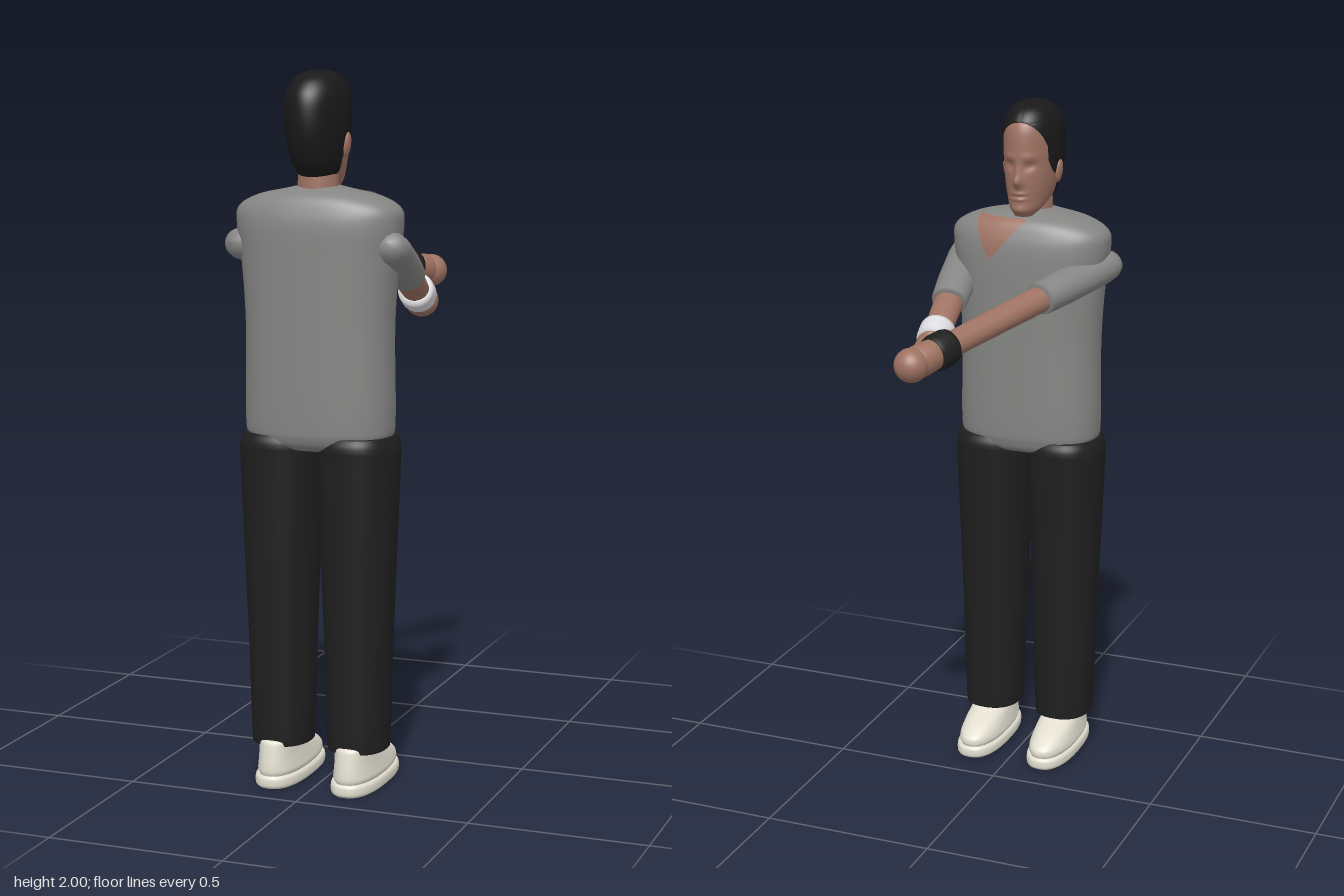
import * as THREE from 'three';

const mat = (name, color, side = THREE.FrontSide) => {
  const m = new THREE.MeshStandardMaterial({ color, side });
  m.name = name;
  return m;
};

// Grid surface from f(u, v) -> [x, y, z]; wrap joins the columns, caps close the ends
function surface(f, rows, cols, wrap = false, caps = false) {
  const pos = [], idx = [], n = wrap ? cols : cols + 1;
  for (let i = 0; i <= rows; i++)
    for (let j = 0; j < n; j++) pos.push(...f(i / rows, j / cols));
  for (let i = 0; i < rows; i++)
    for (let j = 0; j < cols; j++) {
      const k = (j + 1) % n, a = i * n + j, b = a + n, c = i * n + k, d = c + n;
      idx.push(a, b, c, b, d, c);
    }
  if (caps) for (const u of [0, 1]) {
    const start = pos.length / 3, mid = [0, 0, 0];
    for (let j = 0; j < cols; j++) {
      const p = f(u, j / cols);
      pos.push(...p);
      p.forEach((q, k) => { mid[k] += q / cols; });
    }
    pos.push(...mid);
    for (let j = 0; j < cols; j++) {
      const a = start + j, b = start + (j + 1) % cols;
      idx.push(start + cols, ...(u ? [b, a] : [a, b]));
    }
  }
  const g = new THREE.BufferGeometry();
  g.setAttribute('position', new THREE.Float32BufferAttribute(pos, 3));
  g.setIndex(idx);
  g.computeVertexNormals();
  return g;
}

// Smooth sections from rows of [height, half width, front z, back z]
function sections(rings) {
  const curve = (map) => new THREE.CatmullRomCurve3(rings.map(map), false, 'catmullrom', 0.5);
  const a = curve(([y, w, f, b]) => new THREE.Vector3(y, w, (f + b) / 2));
  const d = curve(([, , f, b]) => new THREE.Vector3((b - f) / 2, 0, 0));
  return (t) => {
    const p = a.getPoint(t);
    return { y: p.x, w: p.y, zc: p.z, d: d.getPoint(t).x };
  };
}

const spow = (v, e) => Math.sign(v) * Math.abs(v) ** e;
const loft = (sec, n = 2, rows = 40, cols = 40) => surface((u, v) => {
  const s = sec(u), t = v * Math.PI * 2;
  return [s.w * spow(Math.cos(t), 2 / n), s.y, s.zc + s.d * spow(Math.sin(t), 2 / n)];
}, rows, cols, true, true);

function heightToT(sec, y) {
  let lo = 0, hi = 1;
  for (let i = 0; i < 30; i++) {
    const m = (lo + hi) / 2;
    if (sec(m).y < y) lo = m; else hi = m;
  }
  return lo;
}

export function createModel() {
  const model = new THREE.Group();
  const shirt = mat('grey shirt', 0x858584);
  const black = mat('black cloth', 0x1f1f1f);
  const hairMat = mat('black hair', 0x191919, THREE.DoubleSide);
  const skin = mat('skin', 0x9e7262);
  const patchSkin = mat('open neck skin', 0x9e7262, THREE.DoubleSide);
  const shoeMat = mat('cream shoe', 0xe2ded0);
  const white = mat('white band', 0xdcdce0);
  const add = (name, geo, m, parent = model) => {
    const mesh = new THREE.Mesh(geo, m);
    mesh.name = name;
    parent.add(mesh);
    return mesh;
  };

  // Shirt body
  const N = 2.4;
  const torso = sections([
    [0.962, 0.1, 0.24, 0.37], [0.972, 0.165, 0.2, 0.41], [1.0, 0.203, 0.182, 0.432],
    [1.06, 0.212, 0.176, 0.437], [1.3, 0.21, 0.176, 0.437], [1.48, 0.222, 0.175, 0.437],
    [1.58, 0.236, 0.178, 0.436], [1.63, 0.23, 0.19, 0.425], [1.662, 0.175, 0.208, 0.408],
    [1.68, 0.095, 0.238, 0.38], [1.69, 0.05, 0.26, 0.36]]);
  add('shirt', loft(torso, N, 70, 56), shirt);

  // Open collar showing skin, following the chest surface
  add('open collar', surface((u, v) => {
    const s = torso(heightToT(torso, 1.555 + 0.115 * u));
    const left = THREE.MathUtils.lerp(0.08, -0.02, u), right = THREE.MathUtils.lerp(0.085, 0.14, u ** 0.7);
    const x = Math.min(THREE.MathUtils.lerp(left, right, v), s.w * 0.97);
    const z = s.zc - s.d * (1 - Math.abs(x / s.w) ** N) ** (1 / N);
    return [x, s.y + 0.002, z - 0.004];
  }, 20, 16), patchSkin);

  // Trousers and shoes
  const leg = sections([
    [0.13, 0.08, 0.214, 0.4], [0.14, 0.085, 0.21, 0.404], [0.4, 0.092, 0.204, 0.41],
    [0.7, 0.103, 0.194, 0.422], [0.93, 0.111, 0.182, 0.432], [0.98, 0.109, 0.18, 0.434],
    [1.008, 0.1, 0.19, 0.425]]);
  const sole = sections([
    [0, 0.062, 0.092, 0.424], [0.008, 0.07, 0.083, 0.432], [0.028, 0.07, 0.083, 0.432], [0.036, 0.064, 0.09, 0.426]]);
  const upper = sections([
    [0.034, 0.06, 0.094, 0.422], [0.046, 0.066, 0.09, 0.426], [0.065, 0.064, 0.097, 0.425],
    [0.09, 0.06, 0.14, 0.421], [0.112, 0.056, 0.2, 0.417], [0.13, 0.052, 0.242, 0.412], [0.137, 0.045, 0.26, 0.4]]);
  for (const [side, x] of [['left', 0.114], ['right', -0.114]]) {
    const g = new THREE.Group();
    g.name = side + 'Leg';
    g.position.x = x;
    add('trouserLeg', loft(leg, 2.3), black, g);
    add('shoeSole', loft(sole, 2.5, 12), shoeMat, g);
    add('shoeUpper', loft(upper, 2.3, 24), shoeMat, g);
    model.add(g);
  }

  // Arms: turned profiles laid along the line from shoulder to hand
  function arm(name, from, to, sleeveEnd, bandAt, bandMat) {
    const g = new THREE.Group();
    g.name = name;
    g.position.set(...from);
    g.lookAt(...to);
    const len = new THREE.Vector3(...from).distanceTo(new THREE.Vector3(...to));
    const turned = (part, pts, m, flat = 1) => {
      const geo = new THREE.LatheGeometry(pts.map(([r, d]) => new THREE.Vector2(r, d)), 32);
      geo.rotateX(Math.PI / 2);
      geo.scale(1, flat, 1);
      add(part, geo, m, g);
    };
    turned('sleeve', [[0, -0.05], [0.022, -0.046], [0.04, -0.033], [0.05, -0.012], [0.054, 0.02],
      [0.056, sleeveEnd * 0.6], [0.053, sleeveEnd - 0.012], [0.049, sleeveEnd], [0, sleeveEnd]], shirt, 0.88);
    turned('forearm', [[0.043, sleeveEnd - 0.05], [0.042, sleeveEnd + 0.05], [0.039, bandAt]], skin, 0.88);
    turned('wristBand', [[0.036, bandAt - 0.034], [0.049, bandAt - 0.032], [0.052, bandAt - 0.02], [0.052, bandAt + 0.02],
      [0.049, bandAt + 0.032], [0.036, bandAt + 0.034]], bandMat);
    turned('wrist', [[0.04, bandAt], [0.044, bandAt + 0.04], [0.046, len - 0.03], [0.036, len - 0.015]], skin);
    const hand = new THREE.SphereGeometry(0.048, 28, 20);
    add('hand', hand, skin, g).position.z = len;
    model.add(g);
  }
  arm('rightArm', [-0.215, 1.525, 0.335], [0.08, 1.39, -0.392], 0.285, 0.682, black);
  arm('leftArm', [0.216, 1.525, 0.335], [0.16, 1.338, -0.08], 0.238, 0.388, white);

  // Neck
  const neck = new THREE.CylinderGeometry(0.053, 0.058, 0.12, 32);
  add('neck', neck, skin).position.set(0, 1.715, 0.318);

  // Head with modelled nose, brow, eye sockets, lips and chin
  const head = sections([
    [1.678, 0.026, 0.212, 0.26], [1.7, 0.046, 0.196, 0.335], [1.73, 0.06, 0.194, 0.39],
    [1.77, 0.07, 0.192, 0.417], [1.82, 0.077, 0.192, 0.433], [1.88, 0.08, 0.191, 0.438],
    [1.93, 0.077, 0.197, 0.431], [1.965, 0.063, 0.217, 0.407], [1.985, 0.043, 0.246, 0.373],
    [1.994, 0.012, 0.29, 0.33]]);
  const bump = (x, y, cx, cy, sx, sy) => Math.exp(-(((x - cx) / sx) ** 2) - ((y - cy) / sy) ** 2);
  const headGeo = loft(head, 2, 80, 80);
  const p = headGeo.attributes.position;
  for (let i = 0; i < p.count; i++) {
    const x = p.getX(i), y = p.getY(i), z = p.getZ(i);
    if (z > 0.26) continue;
    const ax = Math.abs(x);
    p.setZ(i, z - 0.019 * bump(x, y, 0, 1.783, 0.013, 0.016) - 0.009 * bump(x, y, 0, 1.81, 0.009, 0.025)
      + 0.01 * bump(ax, y, 0.031, 1.828, 0.016, 0.012) - 0.004 * bump(ax, y, 0.03, 1.853, 0.025, 0.01)
      - 0.005 * bump(x, y, 0, 1.748, 0.024, 0.005) - 0.005 * bump(x, y, 0, 1.732, 0.022, 0.006)
      + 0.004 * bump(x, y, 0, 1.74, 0.024, 0.003) - 0.005 * bump(x, y, 0, 1.698, 0.025, 0.012));
  }
  headGeo.computeVertexNormals();
  add('head', headGeo, skin);

  // Ears
  for (const s of [-1, 1]) {
    const ear = add(s > 0 ? 'leftEar' : 'rightEar', new THREE.SphereGeometry(1, 16, 12), skin);
    ear.scale.set(0.01, 0.034, 0.019);
    ear.position.set(s * 0.08, 1.8, 0.31);
    ear.rotation.z = -s * 0.12;
  }

  // Hair shell, open at the face along a hairline
  const line = [[1.7, 0.33], [1.73, 0.315], [1.765, 0.318], [1.79, 0.298], [1.81, 0.272], [1.84, 0.252],
    [1.88, 0.248], [1.91, 0.232], [1.94, 0.212], [1.96, 0.2], [2.01, 0.15]];
  const hairline = (y) => {
    const i = Math.max(1, line.findIndex(([h]) => h >= y));
    const [a, b] = [line[i - 1], line[i]];
    return THREE.MathUtils.mapLinear(y, a[0], b[0], a[1], b[1]);
  };
  const t0 = heightToT(head, 1.703);
  add('hair', surface((u, v) => {
    const s = head(t0 + (1 - t0) * u);
    const start = Math.asin(THREE.MathUtils.clamp((hairline(s.y) - s.zc) / s.d, -1, 0.95));
    const t = THREE.MathUtils.lerp(start, Math.PI - start, v);
    const grow = 0.002 + 0.005 * Math.sin(Math.PI * v) ** 0.5;
    const w = u > 0.999 ? 0 : 1;
    return [(s.w + grow) * Math.cos(t) * w, s.y + 0.006 * u ** 3, s.zc + (s.d + grow) * Math.sin(t) * w];
  }, 70, 56), hairMat);

  return model;
}
